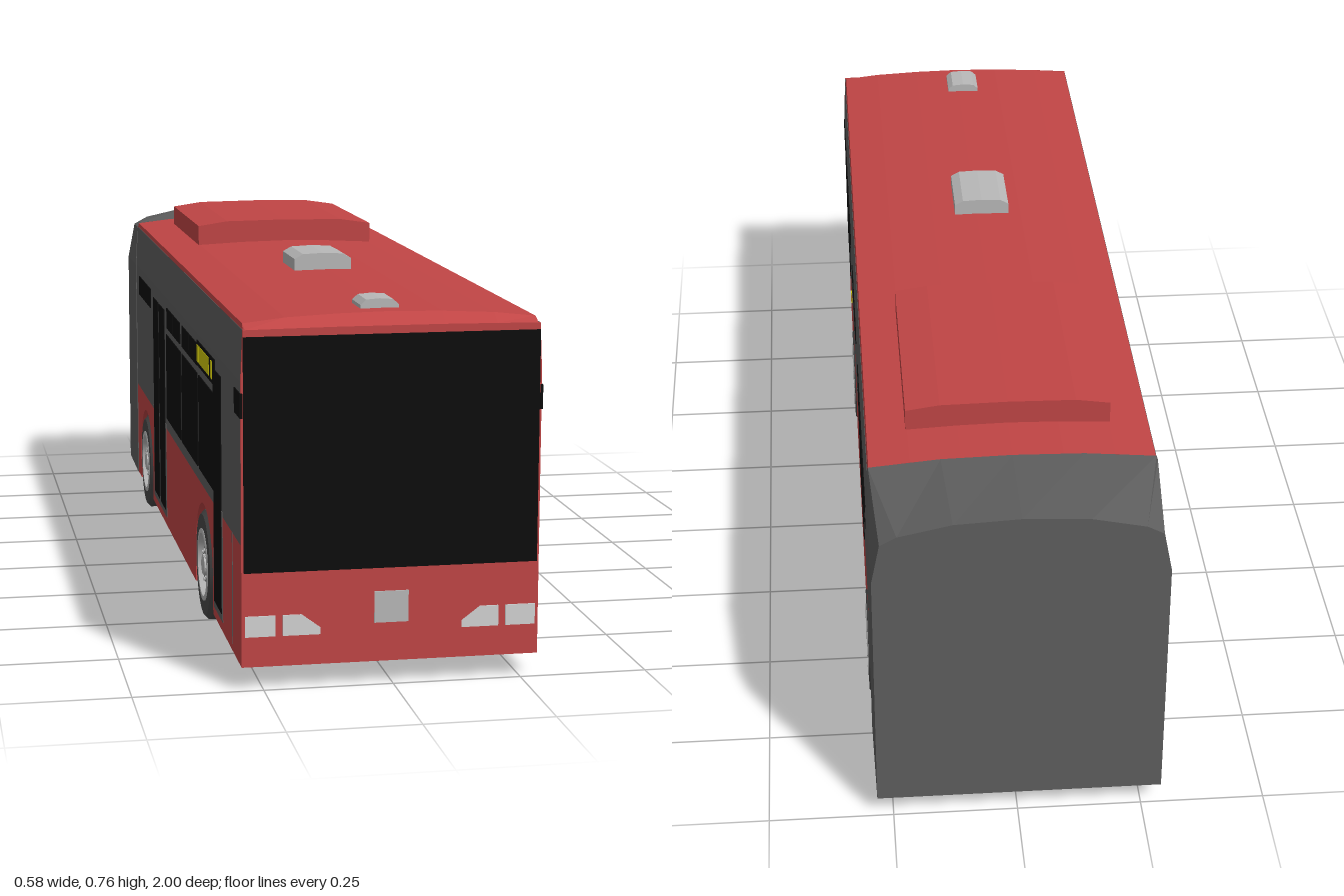
import * as THREE from 'three';

const mat = (name, color, side = THREE.FrontSide) => {
  const m = new THREE.MeshStandardMaterial({ color, side });
  m.name = name;
  return m;
};

export function createModel() {
  const red = mat('red paint', 0xc04545);
  const grey = mat('dark grey paint', 0x5e5e5e, THREE.DoubleSide);
  const black = mat('black glass', 0x0d0d0d);
  const silver = mat('silver', 0xb8b8b8);
  const lamp = mat('headlight', 0xd2d2d2);
  const yellow = mat('yellow display', 0xd0c808);
  const rubber = mat('tyre rubber', 0x484848);
  const rimGrey = mat('rim grey', 0x8c8c8c);

  const W = 0.2875, FRONT = 0.996, BACK = -0.78;
  const model = new THREE.Group();
  model.name = 'cityBus';
  const bus = new THREE.Group();
  bus.name = 'bus';
  bus.position.x = -0.004;
  model.add(bus);

  const add = (name, geo, material, parent = bus) => {
    const m = new THREE.Mesh(geo, material);
    m.name = name;
    parent.add(m);
    return m;
  };
  const box = (name, material, x0, x1, y0, y1, z0, z1) =>
    add(name, new THREE.BoxGeometry(x1 - x0, y1 - y0, z1 - z0)
      .translate((x0 + x1) / 2, (y0 + y1) / 2, (z0 + z1) / 2), material);

  // Mirrors a right-hand half outline (bottom to top centre) into a closed section
  const section = (z, half) => {
    const left = half.filter(p => p[0] > 0).reverse().map(([x, y]) => [-x, y]);
    return [...half, ...left].map(([x, y]) => new THREE.Vector3(x, y, z));
  };
  // Skins convex sections ordered from back to front, with flat faces and end caps
  const loft = (sections) => {
    const v = [], n = sections[0].length, last = sections.length - 1;
    const tri = (...p) => p.forEach(q => v.push(q.x, q.y, q.z));
    for (let s = 0; s < last; s++) for (let i = 0; i < n; i++) {
      const j = (i + 1) % n, A = sections[s], B = sections[s + 1];
      tri(A[i], A[j], B[j]);
      tri(A[i], B[j], B[i]);
    }
    for (let i = 1; i < n - 1; i++) {
      tri(sections[last][0], sections[last][i], sections[last][i + 1]);
      tri(sections[0][0], sections[0][i + 1], sections[0][i]);
    }
    const g = new THREE.BufferGeometry();
    g.setAttribute('position', new THREE.Float32BufferAttribute(v, 3));
    g.computeVertexNormals();
    return g;
  };

  // Lower body with wheel arches cut across the full width
  const arches = [-0.58, 0.48], R = 0.132;
  const profile = new THREE.Shape();
  profile.moveTo(BACK, 0.045);
  for (const c of arches) {
    profile.lineTo(c - R, 0.045);
    profile.lineTo(c - R, 0.112);
    profile.absarc(c, 0.112, R, Math.PI, 0, true);
    profile.lineTo(c + R, 0.045);
  }
  profile.lineTo(FRONT, 0.045);
  profile.lineTo(FRONT, 0.28);
  profile.lineTo(BACK, 0.28);
  add('lowerBody', new THREE.ExtrudeGeometry(profile, { depth: 2 * W, bevelEnabled: false, curveSegments: 20 })
    .rotateY(-Math.PI / 2).translate(W, 0, 0), red);
  add('rearArchLiner', new THREE.CylinderGeometry(R - 0.002, R - 0.002, 2 * W - 0.02, 20, 1, true, 0, Math.PI)
    .rotateZ(Math.PI / 2).translate(0, 0.112, arches[0]), grey);
  box('floorPlate', grey, -W + 0.005, W - 0.005, 0.043, 0.047, 0.23, 0.346);

  // Upper body, front frame and cambered roof
  const wall = [[W, 0.28], [W, 0.59], [0.283, 0.688], [0, 0.688]];
  add('upperBody', loft([section(BACK, wall), section(0.99, wall)]), grey);
  add('frontFrame', loft([section(0.99, wall), section(FRONT, wall)]), red);
  const roof = [[0.283, 0.685], [0.28, 0.697], [0.2, 0.706], [0.1, 0.711], [0, 0.713]];
  const roofLip = [[0.283, 0.685], [0.279, 0.688], [0.2, 0.689], [0.1, 0.69], [0, 0.69]];
  add('roof', loft([section(BACK, roof), section(0.97, roof), section(FRONT, roofLip)]), red);

  // Grey tail tapering at the upper corners
  add('tail', loft([
    section(-1, [[0.286, 0.045], [0.285, 0.585], [0.268, 0.672], [0.235, 0.69], [0.13, 0.713], [0, 0.72]]),
    section(BACK, [[0.289, 0.045], [0.289, 0.59], [0.284, 0.688], [0.281, 0.698], [0.14, 0.711], [0, 0.714]]),
  ]), grey);

  // Roof equipment
  const unit = [[0.203, 0.69], [0.203, 0.75], [0.135, 0.76], [0, 0.762]];
  add('airConditioner', loft([section(-0.665, unit), section(-0.2, unit)]), red);
  const hatch = (name, w, top, z0, z1) => {
    const g = loft([
      section(z0, [[w, 0.7], [w, top - 0.012], [w * 0.7, top - 0.002], [0, top]]),
      section(z1, [[w, 0.7], [w, top - 0.012], [w * 0.7, top - 0.002], [0, top]]),
    ]);
    add(name, g, silver).position.x = -0.011;
  };
  hatch('roofHatch', 0.061, 0.748, 0.2, 0.345);
  hatch('frontVent', 0.037, 0.731, 0.845, 0.925);

  // Windscreen, front badge panel and headlights
  box('windscreen', black, -0.283, 0.283, 0.228, 0.675, 0.992, 1);
  box('frontPanel', silver, -0.033, 0.033, 0.121, 0.182, 0.994, 0.999);
  for (const s of [-1, 1]) {
    const a = s * 0.223, b = s * 0.281;
    box('outerHeadlight', lamp, Math.min(a, b), Math.max(a, b), 0.104, 0.144, 0.994, 0.999);
    const pts = [[0.137, 0.104], [0.209, 0.104], [0.209, 0.144], [0.173, 0.144], [0.137, 0.117]];
    const shape = new THREE.Shape(pts.map(([x, y]) => new THREE.Vector2(s * x, y)));
    add('innerHeadlight', new THREE.ExtrudeGeometry(shape, { depth: 0.005, bevelEnabled: false })
      .translate(0, 0, 0.994), lamp);
  }

  // Thin plates on the body sides: side -1 is the right, +1 the left
  const plate = (name, material, side, z0, z1, y0, y1, lift = 0.002) => {
    const a = side * (W - 0.003), b = side * (W + lift);
    box(name, material, Math.min(a, b), Math.max(a, b), y0, y1, z0, z1);
  };
  const small = (side, spans) => spans.forEach(([a, b]) => plate('upperWindow', black, side, a, b, 0.523, 0.57));

  // Right side: doors, windows and route display
  small(-1, [[0.925, 0.999], [0.278, 0.395], [0.15, 0.272], [-0.005, 0.112], [-0.128, -0.01],
    [-0.578, -0.455], [-0.71, -0.583]]);
  for (const [a, b] of [[0.42, 0.645], [0.145, 0.4], [-0.14, 0.123]])
    plate('sideWindow', black, -1, a, b, 0.308, 0.507);
  plate('frontDoorFrame', grey, -1, 0.63, 0.755, 0.065, 0.29, 0.001);
  plate('frontDoor', black, -1, 0.64, 0.742, 0.08, 0.558);
  plate('rearDoorFrame', grey, -1, -0.415, -0.165, 0.065, 0.29, 0.001);
  plate('rearDoorLeaf', black, -1, -0.278, -0.18, 0.08, 0.558);
  plate('rearDoorLeaf', black, -1, -0.4, -0.3, 0.08, 0.558);
  plate('displayFrame', black, -1, 0.4, 0.66, 0.525, 0.578);
  for (const [a, b] of [[0.612, 0.633], [0.44, 0.585], [0.405, 0.428]])
    plate('routeDisplay', yellow, -1, a, b, 0.534, 0.57, 0.003);
  plate('panelSeam', grey, -1, 0.883, 0.888, 0.06, 0.28, 0.001);

  // Left side: windows and filler marker
  small(1, [[-0.74, -0.62], [-0.61, -0.495], [-0.465, -0.345], [-0.335, -0.2], [-0.04, 0.075],
    [0.11, 0.235], [0.4, 0.51], [0.53, 0.64], [0.955, 0.999]]);
  plate('sideWindow', black, 1, -0.465, -0.2, 0.295, 0.507);
  plate('driverWindow', black, 1, 0.665, 0.787, 0.335, 0.575);
  plate('driverWindow', black, 1, 0.795, 0.93, 0.335, 0.575);
  plate('driverLowerWindow', black, 1, 0.665, 0.93, 0.285, 0.322);
  plate('fillerMarker', yellow, 1, 0.605, 0.63, 0.248, 0.27);

  // Wheels: lathed about the axle, outer face at local y = 0
  const lathe = (pts) => new THREE.LatheGeometry(pts.map(([r, y]) => new THREE.Vector2(r, y)), 32)
    .rotateZ(-Math.PI / 2);
  const tyreGeo = lathe([[0, -0.06], [0.106, -0.06], [0.115, -0.053], [0.115, -0.053], [0.115, -0.008],
    [0.115, -0.008], [0.106, 0], [0.106, 0], [0.074, 0], [0.074, 0], [0.07, -0.02], [0, -0.02]]);
  const rimGeo = lathe([[0.076, -0.002], [0.076, 0.002], [0.066, 0.002], [0.066, 0.002], [0.06, -0.014]]);
  const dishGeo = lathe([[0.062, -0.013], [0.062, -0.013], [0.046, -0.013], [0.038, -0.005], [0.02, -0.005]]);
  const hubGeo = lathe([[0.022, -0.008], [0.022, 0], [0.022, 0], [0.015, 0.002], [0, 0.002]]);
  const nutGeo = new THREE.CylinderGeometry(0.0035, 0.0035, 0.006, 6).rotateZ(Math.PI / 2);
  const wheel = (name, side, z, x, hasRim) => {
    const g = new THREE.Group();
    g.name = name;
    g.position.set(side * x, 0.115, z);
    if (side < 0) g.rotation.y = Math.PI;
    bus.add(g);
    add('tyre', tyreGeo, rubber, g);
    if (!hasRim) return;
    add('rimRing', rimGeo, silver, g);
    add('rimDish', dishGeo, rimGrey, g);
    add('hub', hubGeo, silver, g);
    for (let i = 0; i < 8; i++) {
      const a = i * Math.PI / 4;
      add('wheelNut', nutGeo, silver, g).position.set(-0.004, 0.031 * Math.sin(a), 0.031 * Math.cos(a));
    }
  };
  for (const s of [-1, 1]) {
    wheel('frontWheel', s, arches[1], 0.29, true);
    wheel('rearOuterWheel', s, arches[0], 0.29, true);
    wheel('rearInnerWheel', s, arches[0], 0.221, false);
  }
  return model;
}
